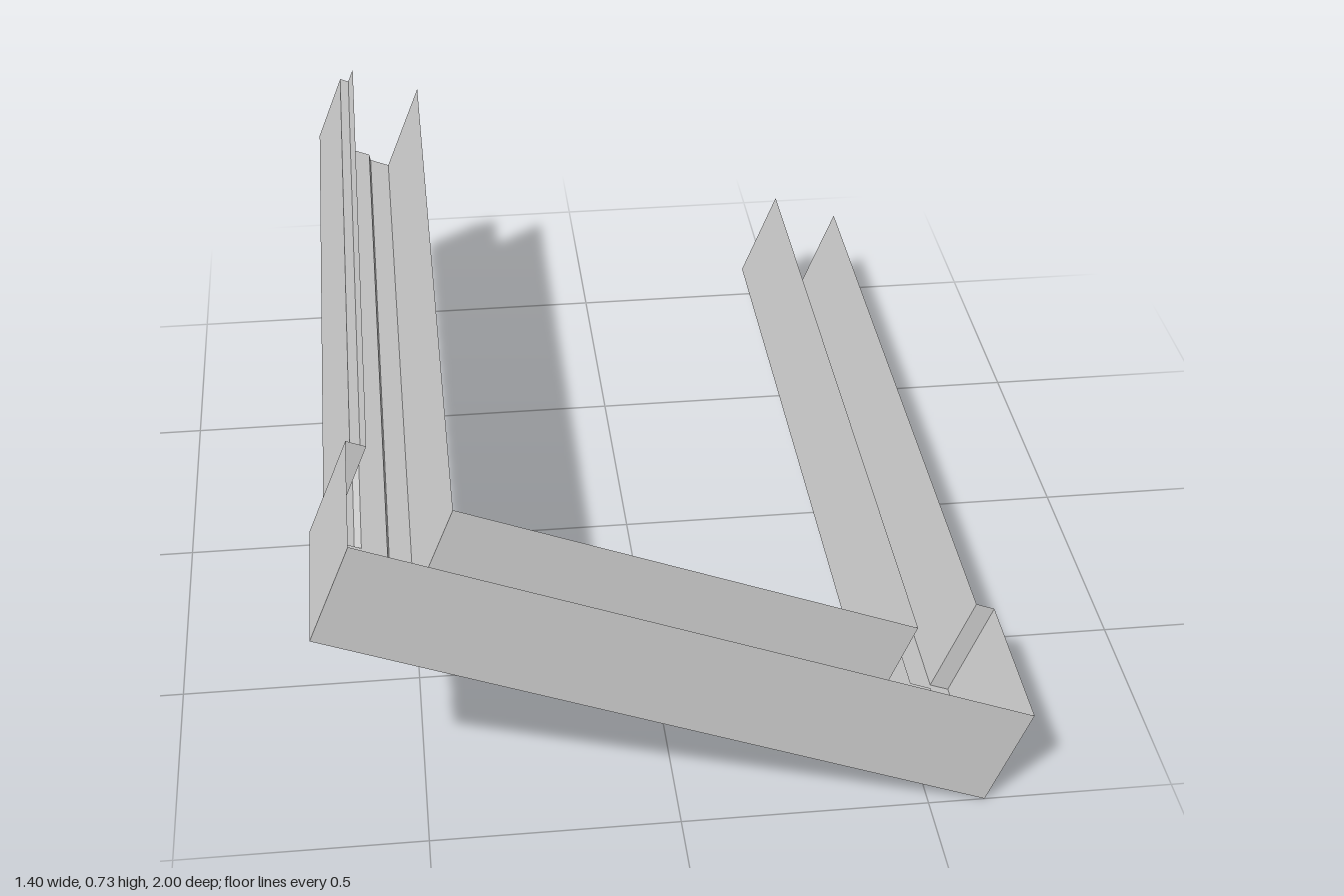
import * as THREE from 'three';

const H = 0.113;        // half height of the channel walls
const FLOOR = -0.1;     // raised middle of the channel floor
const material = new THREE.MeshStandardMaterial({ color: 0xcccccc, flatShading: true, side: THREE.DoubleSide });

// U-shaped plan path: legs at x = leg, widening to x = cap in front of z = step
function uPath(leg, step, cap, front, y) {
  const half = [[leg, -1], [leg, step], [cap, step], [cap, front]];
  const left = half.map(([x, z]) => [-x, y, z]);
  const right = half.map(([x, z]) => [x, y, z]).reverse();
  return [...left, ...right];
}

// Sheet surface joining a series of matching paths
function loft(name, paths) {
  const positions = [], indices = [], n = paths[0].length;
  paths.forEach(path => path.forEach(p => positions.push(...p)));
  for (let i = 0; i < paths.length - 1; i++) {
    for (let j = 0; j < n - 1; j++) {
      const a = i * n + j, b = a + n;
      indices.push(a, a + 1, b, a + 1, b + 1, b);
    }
  }
  const geometry = new THREE.BufferGeometry();
  geometry.setAttribute('position', new THREE.Float32BufferAttribute(positions, 3));
  geometry.setIndex(indices);
  geometry.computeVertexNormals();
  const mesh = new THREE.Mesh(geometry, material);
  mesh.name = name;
  return mesh;
}

export function createModel() {
  const model = new THREE.Group();
  model.name = 'channelFrame';
  const tilted = new THREE.Group();
  tilted.name = 'tiltedChannel';

  // Upright outer and inner walls
  const outer = y => uPath(0.664, 0.66, 0.706, 1, y);
  const inner = y => uPath(0.495, 0.66, 0.495, 0.8, y);
  tilted.add(loft('outerWall', [outer(-H), outer(H)]));
  tilted.add(loft('innerWall', [inner(-H), inner(H)]));

  // Floor with low rims beside the walls and a raised middle
  tilted.add(loft('floor', [
    outer(-H),
    uPath(0.614, 0.69, 0.659, 0.956, -H),
    uPath(0.604, 0.69, 0.651, 0.948, FLOOR),
    uPath(0.55, 0.69, 0.55, 0.855, FLOOR),
    uPath(0.542, 0.69, 0.542, 0.845, -H),
    inner(-H),
  ]));

  // Cladding strip along the outside of each leg
  for (const side of [-1, 1]) {
    const strip = new THREE.Mesh(new THREE.BoxGeometry(0.021, 0.166, 1.66), material);
    strip.name = side > 0 ? 'leftLegStrip' : 'rightLegStrip';
    strip.position.set(side * 0.6745, -0.005, -0.17);
    tilted.add(strip);
  }

  // Whole frame leans down towards +x
  tilted.rotation.z = -THREE.MathUtils.degToRad(21.65);
  tilted.position.y = 0.366;
  model.add(tilted);
  return model;
}
